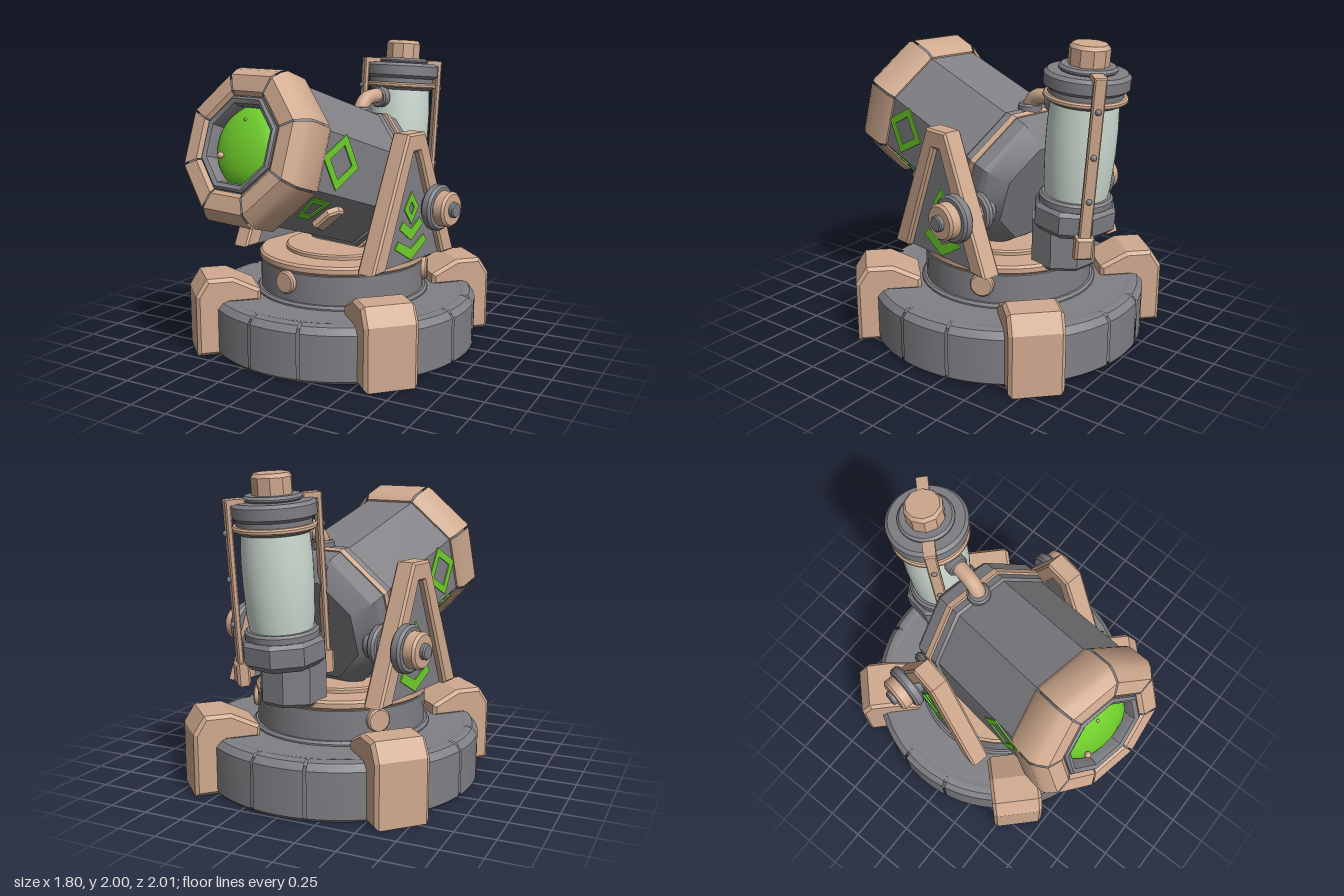
import * as THREE from 'three';
import { toCreasedNormals } from 'three/addons/utils/BufferGeometryUtils.js';

const PI = Math.PI;
const material = (name, color) => {
  const m = new THREE.MeshStandardMaterial({ color });
  m.name = name;
  return m;
};

export function createModel() {
  const gray = material('gray metal', 0x808085);
  const tan = material('tan armour', 0xd0aa8f);
  const green = material('glowing green', 0x70d02c);
  const glass = material('pale glass', 0xd0ddd4);

  const add = (parent, name, geo, mat, x = 0, y = 0, z = 0) => {
    const m = new THREE.Mesh(geo, mat);
    m.name = name;
    m.position.set(x, y, z);
    parent.add(m);
    return m;
  };
  const group = (parent, name, x = 0, y = 0, z = 0) => {
    const g = new THREE.Group();
    g.name = name;
    g.position.set(x, y, z);
    parent.add(g);
    return g;
  };
  // Turned part; profile runs [radius, height] upward on the outside
  const turned = (profile, segs = 48, start = 0, length = PI * 2) =>
    toCreasedNormals(new THREE.LatheGeometry(
      profile.map(([r, y]) => new THREE.Vector2(r, y)), segs, start, length), 0.55);
  // Octagonal part with flat sides, given by apothem
  const octagon = (profile, segs = 8, start = PI / 8, length = PI * 2) =>
    turned(profile.map(([r, y]) => [r / Math.cos(PI / 8), y]), segs, start, length);
  // Disc with softened rims
  const disc = (r, y0, y1, b = 0.015, segs = 40) =>
    turned([[0, y0], [r - b, y0], [r, y0 + b], [r, y1 - b], [r - b, y1], [0, y1]], segs);
  const shapeOf = (pts, hole) => {
    const v = a => a.map(([x, y]) => new THREE.Vector2(x, y));
    const s = new THREE.Shape(v(pts));
    if (hole) s.holes.push(new THREE.Path(v(hole)));
    return s;
  };
  const slab = (shape, depth, bevel = 0) => new THREE.ExtrudeGeometry(shape, {
    depth: depth - 2 * bevel, bevelEnabled: bevel > 0, bevelSize: bevel,
    bevelOffset: -bevel, bevelThickness: bevel, bevelSegments: 1,
  }).translate(0, 0, bevel);
  // Slab whose thickness runs along +x
  const sideSlab = (shape, depth, bevel) => slab(shape, depth, bevel).rotateY(PI / 2);
  const block = (w, h, d, b = 0.015) =>
    slab(shapeOf([[-w / 2, -h / 2], [w / 2, -h / 2], [w / 2, h / 2], [-w / 2, h / 2]]), d, b)
      .translate(0, 0, -d / 2);

  const model = new THREE.Group();
  model.name = 'turret';

  // Round base with eight notches
  const base = group(model, 'base', 0, 0, -0.1);
  add(base, 'baseCore', turned([[0, 0.004], [0.865, 0.004], [0.865, 0.33], [0.83, 0.355], [0, 0.355]], 64), gray);
  const notch = 0.195, gap = 0.01;
  for (let i = 0; i < 4; i++) {
    for (const [from, to] of [[-notch, notch], [notch, PI / 2 - notch]]) {
      add(base, 'baseRim', turned(
        [[0.8, 0], [0.88, 0], [0.9, 0.02], [0.9, 0.31], [0.865, 0.35], [0.82, 0.36], [0.8, 0.355]],
        16, i * PI / 2 + from + gap, to - from - 2 * gap), gray);
    }
  }

  // Four stabiliser feet on the diagonals
  const footShape = shapeOf([[0.8, 0], [1.02, 0], [1.02, 0.4], [0.95, 0.51], [0.78, 0.51],
    [0.6, 0.42], [0.6, 0.34], [0.8, 0.34]]);
  for (let i = 0; i < 4; i++) {
    const foot = group(base, 'foot');
    foot.rotation.y = PI / 4 + i * PI / 2;
    add(foot, 'footBlock', slab(footShape, 0.34, 0.022), tan, 0, 0, -0.17);
  }

  // Turntable, turned slightly aside with everything above it
  const turret = group(model, 'turntable', 0, 0, -0.1);
  turret.rotation.y = -0.2;
  add(turret, 'turntableFoot', disc(0.58, 0.34, 0.38), gray);
  add(turret, 'turntableDrum', disc(0.55, 0.36, 0.58), gray);
  add(turret, 'turntableRing', disc(0.56, 0.57, 0.63), tan);
  add(turret, 'turntableStep', disc(0.38, 0.62, 0.66, 0.01), tan);
  for (let i = 0; i < 3; i++) {
    const bolt = group(turret, 'drumBolt');
    bolt.rotation.y = i * 2 * PI / 3;
    add(bolt, 'drumBoltHead', disc(0.075, 0.5, 0.58, 0.01, 24).rotateX(PI / 2), tan, 0, 0.5, 0);
  }

  // A-frame supports with trunnions on both sides
  const frameShape = shapeOf([[-0.44, 0.62], [-0.31, 0.62], [-0.03, 1.33], [0.03, 1.33],
    [0.31, 0.62], [0.44, 0.62], [0.09, 1.45], [-0.09, 1.45]]);
  const panelShape = shapeOf([[-0.32, 0.62], [0.32, 0.62], [0.03, 1.35], [-0.03, 1.35]]);
  const chevron = (w, y, h) => shapeOf([[0, y], [w, y + h], [w - 0.035, y + h + 0.045],
    [0, y + 0.075], [-w + 0.035, y + h + 0.045], [-w, y + h]]);
  const diamond = (a, b) => [[0, -b], [a, 0], [0, b], [-a, 0]];
  for (const side of [1, -1]) {
    const support = group(turret, side > 0 ? 'leftSupport' : 'rightSupport');
    support.rotation.y = side > 0 ? 0 : PI;
    add(support, 'aFrame', sideSlab(frameShape, 0.13, 0.014), tan, 0.48);
    add(support, 'supportPanel', sideSlab(panelShape, 0.06), gray, 0.505);
    add(support, 'lowerChevron', sideSlab(chevron(0.17, 0.63, 0.1), 0.009), green, 0.564);
    add(support, 'upperChevron', sideSlab(chevron(0.125, 0.76, 0.09), 0.009), green, 0.564);
    add(support, 'panelDiamond', sideSlab(shapeOf(diamond(0.075, 0.105), diamond(0.03, 0.042)), 0.009),
      green, 0.564, 0.97);
    const trunnion = group(support, 'trunnion', 0, 0.95, -0.2 * side);
    trunnion.rotation.z = -PI / 2;
    add(trunnion, 'axle', disc(0.09, 0.36, 0.62), gray);
    add(trunnion, 'axleCollar', disc(0.13, 0.42, 0.475), gray);
    add(trunnion, 'axleDisc', disc(0.15, 0.6, 0.67), gray);
    add(trunnion, 'axleCap', disc(0.115, 0.66, 0.75), tan);
    add(trunnion, 'axlePin', disc(0.05, 0.74, 0.78, 0.008), gray);
  }

  // Octagonal barrel, tipped upward
  const barrel = group(turret, 'barrel', 0, 1.04, -0.23);
  barrel.rotation.x = -0.32;
  const along = geo => geo.rotateX(PI / 2);
  add(barrel, 'barrelTube', along(octagon([[0.3, 0.16], [0.43, 0.16], [0.43, 1], [0.3, 1]])), gray);
  add(barrel, 'barrelCollar', along(octagon([[0.4, 0.155], [0.445, 0.155], [0.445, 0.2], [0.43, 0.215]])), gray);
  add(barrel, 'barrelBand', along(octagon([[0.4, 0.11], [0.458, 0.11], [0.458, 0.15], [0.4, 0.15]])), tan);
  add(barrel, 'breech', along(octagon([[0, -0.09], [0.33, -0.09], [0.43, 0], [0.45, 0.03], [0.45, 0.125], [0.3, 0.125]])), gray);
  // Muzzle ring of eight armour segments
  add(barrel, 'muzzleCore', along(octagon([[0.42, 0.985], [0.44, 1.02], [0.445, 1.16], [0.395, 1.24], [0.28, 1.24]])), gray);
  for (let i = 0; i < 8; i++) {
    add(barrel, 'muzzleSegment', along(octagon([[0.4, 0.97], [0.44, 0.97], [0.465, 1.01], [0.47, 1.17],
      [0.45, 1.21], [0.405, 1.26], [0.31, 1.26], [0.28, 1.235], [0.28, 1.15]],
      1, PI / 8 + i * PI / 4 + 0.012, PI / 4 - 0.024)), tan);
  }
  add(barrel, 'lensRim', along(octagon([[0.29, 1.2], [0.28, 1.25], [0.265, 1.262], [0.24, 1.25], [0.23, 1.22], [0.23, 1.1]])), gray);
  add(barrel, 'lens', along(turned([[0.26, 1.15], [0.22, 1.195], [0.16, 1.222], [0.08, 1.238], [0, 1.243]])), green);
  add(barrel, 'lensStud', new THREE.SphereGeometry(0.02, 16, 10), tan, -0.13, -0.08, 1.24);
  add(barrel, 'lensPin', new THREE.SphereGeometry(0.01, 12, 8), tan, 0, 0.15, 1.228);

  // Barrel markings and fins on both sides
  const trapezoid = k => [[-0.05 * k, -0.085 * k], [0.05 * k, -0.085 * k], [0.085 * k, 0.085 * k], [-0.085 * k, 0.085 * k]];
  for (const side of [1, -1]) {
    const flank = group(barrel, side > 0 ? 'leftFlank' : 'rightFlank');
    flank.rotation.y = side > 0 ? 0 : PI;
    add(flank, 'flankDiamond', sideSlab(shapeOf(diamond(0.17, 0.17), diamond(0.105, 0.105)), 0.009),
      green, 0.4285, 0.02, 0.81 * side);
    const lower = group(flank, 'lowerFace');
    lower.rotation.z = -PI / 4;
    add(lower, 'lowerFrame', sideSlab(shapeOf(trapezoid(1), trapezoid(0.6)), 0.009), green, 0.4285, 0.03, 0.855 * side);
    const fin = shapeOf([[-0.05, -0.08], [0.05, -0.1], [0.05, 0.1], [0, 0.1], [-0.05, 0.05]].map(([x, y]) => [x * side, y]));
    add(lower, 'fin', sideSlab(fin, 0.06, 0.012), tan, 0.415, 0, 0.69 * side);
  }

  // Tank holder and leaning canister behind the barrel
  add(turret, 'tankHolder', octagon([[0, 0.6], [0.18, 0.6], [0.195, 0.62], [0.195, 0.9], [0, 0.9]]), gray, 0, 0, -0.5);
  const tank = group(turret, 'tank', 0, 0.85, -0.58);
  tank.rotation.x = -0.085;
  add(tank, 'tankCup', octagon([[0, 0], [0.2, 0], [0.24, 0.04], [0.24, 0.15], [0.22, 0.175], [0, 0.175]]), gray);
  add(tank, 'tankSeat', disc(0.225, 0.16, 0.225), gray);
  add(tank, 'tankGlass', turned([[0.19, 0.2], [0.203, 0.3], [0.212, 0.5], [0.212, 0.65], [0.2, 0.85]]), glass);
  add(tank, 'tankNeck', disc(0.225, 0.8, 0.9), gray);
  add(tank, 'tankBand', disc(0.25, 0.815, 0.85, 0.01), tan);
  add(tank, 'tankLid', turned([[0, 0.88], [0.23, 0.88], [0.255, 0.9], [0.255, 0.965], [0.235, 0.985], [0, 0.985]]), gray);
  add(tank, 'lidStep', disc(0.175, 0.98, 1.02), gray);
  add(tank, 'tankCap', turned([[0, 1], [0.122, 1], [0.122, 1.12], [0.105, 1.143], [0, 1.143]], 10), tan);

  // Straps down both sides of the tank
  for (const turn of [2.56, 2.56 - PI]) {
    const strap = group(tank, 'tankStrap');
    strap.rotation.y = turn;
    add(strap, 'strapBar', block(0.075, 1.03, 0.035, 0.008), tan, 0, 0.485, 0.272);
    add(strap, 'strapHook', block(0.075, 0.035, 0.12, 0.008), tan, 0, 0.995, 0.23);
    add(strap, 'strapFoot', block(0.11, 0.14, 0.08), tan, 0, -0.02, 0.265);
    for (const y of [0.28, 0.55, 0.82]) {
      add(strap, 'strapBolt', new THREE.SphereGeometry(0.019, 12, 8), gray, 0, y, 0.291);
    }
  }

  // Feed pipe from barrel to tank
  const path = new THREE.CatmullRomCurve3([[1.48, -0.19], [1.55, -0.2], [1.605, -0.25], [1.62, -0.32], [1.62, -0.46]]
    .map(([y, z]) => new THREE.Vector3(0, y, z)));
  add(turret, 'feedPipe', new THREE.TubeGeometry(path, 24, 0.05, 16), tan);
  add(turret, 'pipeFlange', disc(0.075, 1.44, 1.56, 0.012), gray, 0, 0, -0.19).rotation.x = 0;
  add(turret, 'pipeCollar', disc(0.07, 0, 0.07, 0.01).rotateX(-PI / 2), gray, 0, 1.61, -0.37);

  return model;
}
